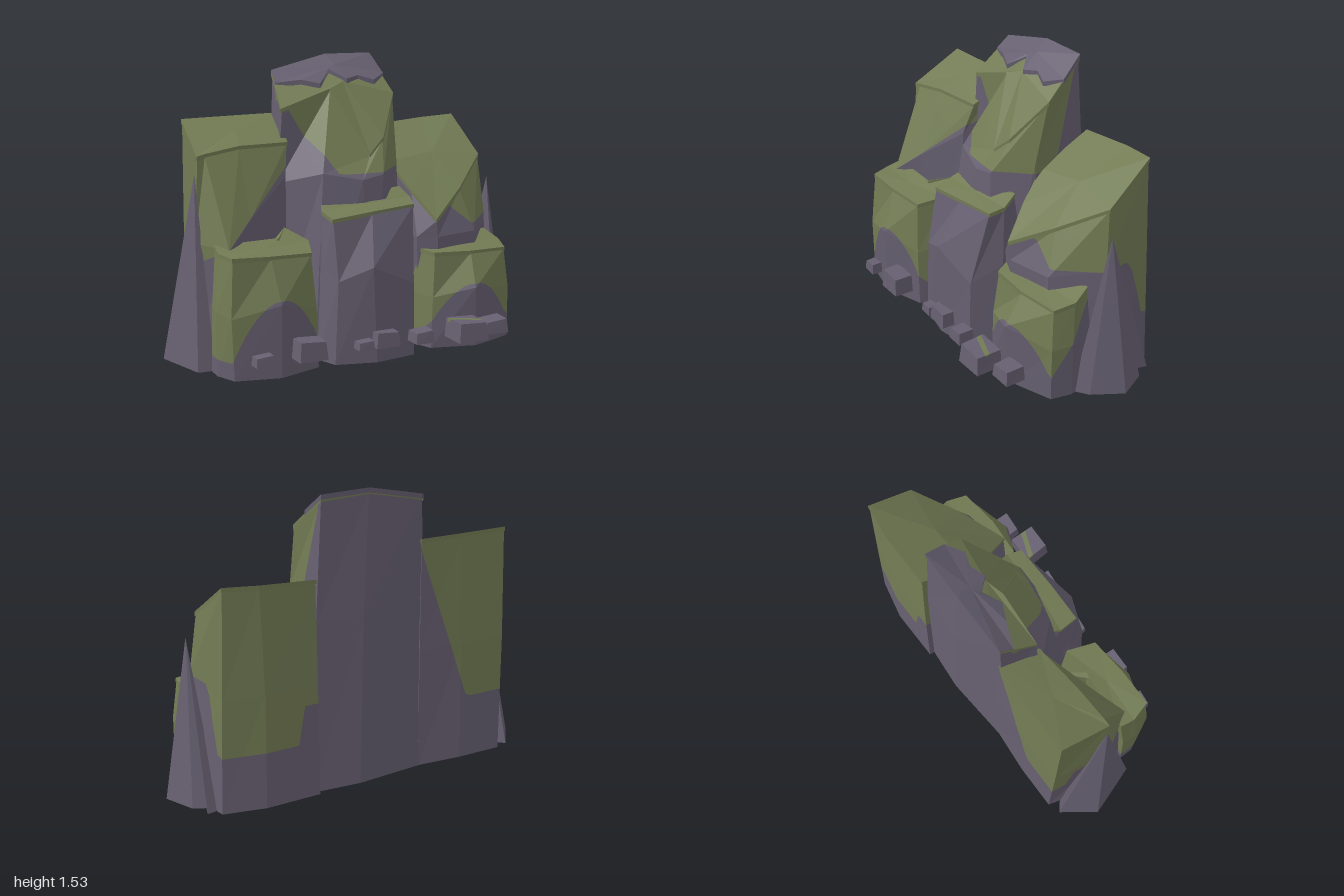
import * as THREE from 'three';

// Shells are open underneath, so both sides show
const moss = new THREE.MeshStandardMaterial({ color: 0x727b54, side: THREE.DoubleSide });
moss.name = 'moss';
const stone = new THREE.MeshStandardMaterial({ color: 0x665f70, side: THREE.DoubleSide });
stone.name = 'stone';

const allStone = () => -1;
const allMoss = () => 1;
const mix = (a, b, t) => a.map((v, i) => v + (b[i] - v) * t);
const drop = (p, d) => [p[0], p[1] - d, p[2]];

// Part of a triangle where sign * field is positive, as a fan
function clip(tri, values, sign, out) {
  const poly = [];
  for (let i = 0; i < 3; i++) {
    const j = (i + 1) % 3, a = values[i] * sign, b = values[j] * sign;
    if (a >= 0) poly.push(tri[i]);
    if ((a >= 0) !== (b >= 0)) poly.push(mix(tri[i], tri[j], a / (a - b)));
  }
  for (let i = 1; i + 1 < poly.length; i++) out.push(...poly[0], ...poly[i], ...poly[i + 1]);
}

// Faceted shell through rings, closed at the top by a fan; the field is positive where moss grows
function loft(name, rings, field, peak) {
  const green = [], grey = [];
  const emit = (a, b, c, depth) => {
    if (depth > 0) {
      const ab = mix(a, b, 0.5), bc = mix(b, c, 0.5), ca = mix(c, a, 0.5);
      emit(a, ab, ca, depth - 1);
      emit(ab, b, bc, depth - 1);
      emit(ca, bc, c, depth - 1);
      emit(ab, bc, ca, depth - 1);
      return;
    }
    const tri = [a, b, c], values = tri.map((p) => field(...p));
    clip(tri, values, 1, green);
    clip(tri, values.map((v) => (v === 0 ? 1e-9 : v)), -1, grey);
  };
  const depth = field === allStone || field === allMoss ? 0 : 3;
  const n = rings[0].length, top = rings[rings.length - 1];
  for (let i = 0; i < n; i++) {
    const j = (i + 1) % n;
    for (let k = 0; k + 1 < rings.length; k++) {
      const a = rings[k], b = rings[k + 1];
      emit(a[i], a[j], b[j], depth);
      emit(a[i], b[j], b[i], depth);
    }
    emit(peak, top[i], top[j], depth);
  }
  const geo = new THREE.BufferGeometry();
  geo.setAttribute('position', new THREE.Float32BufferAttribute([...green, ...grey], 3));
  geo.addGroup(0, green.length / 3, 0);
  geo.addGroup(green.length / 3, grey.length / 3, 1);
  geo.computeVertexNormals();
  const mesh = new THREE.Mesh(geo, [moss, stone]);
  mesh.name = name;
  return mesh;
}

// Rock column with a thin overhanging moss crust on its sloping top
function column(name, { base, mid, top, peak, field }) {
  const group = new THREE.Group();
  group.name = name;
  const foot = base.map(([x, z]) => [x, 0.01, z]);
  group.add(loft(name + 'Body', [foot, mid, top.map((p) => drop(p, 0.012))], field, drop(peak, 0.012)));
  const rim = top.map(([x, y, z]) => [peak[0] + (x - peak[0]) * 1.02, y, peak[2] + (z - peak[2]) * 1.02]);
  group.add(loft(name + 'Crust', [rim.map((p) => drop(p, 0.022)), rim], allMoss, peak));
  return group;
}

// Every ring runs back left, left, front left, front, front right, right, back right, back
const columns = {
  tallCentreRock: {
    base: [[-.32, -.43], [-.42, -.2], [-.3, .1], [0, .14], [.2, .12], [.36, -.15], [.33, -.43], [.07, -.455]],
    mid: [[-.33, .9, -.405], [-.37, .9, -.2], [-.2, .97, 0], [0, .93, .06], [.12, .95, .06], [.28, 1, -.1], [.3, .9, -.405], [.04, .9, -.425]],
    top: [[-.31, 1.46, -.39], [-.34, 1.29, -.2], [-.07, 1.38, -.19], [.07, 1.05, -.005], [.16, 1.13, -.03], [.29, 1.34, -.17], [.26, 1.52, -.385], [0, 1.53, -.395]],
    peak: [0.02, 1.41, -.22],
    field: (x, y, z) => Math.min(z + .27 + .26 * (y - 1.12), y - Math.max(.96, .97 - 1.7 * (x + .12))),
  },
  tallRightRock: {
    base: [[-.8, -.46], [-.88, -.2], [-.8, .08], [-.6, -.02], [-.36, -.12], [-.3, -.25], [-.3, -.43], [-.55, -.455]],
    mid: [[-.81, .65, -.44], [-.86, .65, -.12], [-.75, .64, .07], [-.6, .77, -.01], [-.36, .95, -.12], [-.3, .7, -.25], [-.3, .65, -.42], [-.55, .65, -.435]],
    top: [[-.81, 1.24, -.415], [-.83, 1.09, -.14], [-.79, 1.1, -.14], [-.6, 1.125, -.15], [-.33, 1.12, -.17], [-.31, 1.18, -.28], [-.31, 1.24, -.4], [-.55, 1.24, -.41]],
    peak: [-.57, 1.18, -.28],
    field: (x, y, z) => z < -.35 ? y - Math.max(.35, .25 + 3 * (x + .62)) : y - (.64 + .9 * (x + .75)),
  },
  tallLeftRock: {
    base: [[.31, -.46], [.28, -.1], [.32, .1], [.42, .15], [.68, .13], [.88, -.1], [.83, -.41], [.61, -.46]],
    mid: [[.31, .6, -.44], [.27, .6, -.1], [.3, .6, .1], [.4, .6, .15], [.65, .6, .11], [.84, .65, -.1], [.81, .6, -.4], [.6, .6, -.44]],
    top: [[.31, 1.13, -.415], [.27, .97, -.15], [.32, .84, 0], [.39, .70, .15], [.6, .83, .03], [.81, .97, -.13], [.79, 1.16, -.39], [.61, 1.15, -.415]],
    peak: [.54, 1.0, -.17],
    field: (x, y, z) => {
      if (z < -.27) return y - Math.max(x < .42 ? .5 : .3, .65 + 3.5 * (z + .27));
      return y - (.64 + Math.max(0, .13 - .8 * (x - .48)));
    },
  },
  lowCentreRock: {
    base: [[-.26, -.05], [-.29, .1], [-.24, .22], [-.03, .28], [.2, .26], [.29, .1], [.27, -.05], [0, -.06]],
    mid: [[-.23, .5, -.05], [-.25, .5, .1], [-.22, .45, .22], [-.05, .52, .28], [.2, .4, .25], [.28, .5, .1], [.25, .5, -.05], [0, .5, -.05]],
    top: [[-.21, .82, 0], [-.23, .79, .05], [-.22, .765, .16], [0, .785, .165], [.24, .80, .16], [.26, .82, .08], [.24, .865, 0], [0, .83, -.02]],
    peak: [.01, .81, .08],
    field: allStone,
  },
  lowRightRock: {
    base: [[-.84, .02], [-.84, .1], [-.79, .21], [-.56, .27], [-.33, .21], [-.29, .1], [-.34, -.08], [-.46, .04]],
    mid: [[-.83, .35, .02], [-.84, .35, .1], [-.8, .33, .21], [-.56, .39, .28], [-.34, .33, .21], [-.29, .35, .08], [-.36, .35, -.09], [-.47, .35, .05]],
    top: [[-.8, .66, 0], [-.81, .64, .08], [-.78, .635, .19], [-.58, .625, .2], [-.36, .615, .19], [-.31, .64, .04], [-.39, .69, -.08], [-.47, .67, .04]],
    peak: [-.56, .64, .1],
    field: (x, y) => y - Math.max(.1, .41 - 5 * (x + .55) ** 2),
  },
  lowLeftRock: {
    base: [[.3, -.03], [.28, .1], [.33, .21], [.57, .28], [.81, .21], [.84, .1], [.82, -.03], [.57, -.04]],
    mid: [[.3, .3, -.03], [.29, .3, .1], [.34, .29, .21], [.55, .34, .3], [.81, .29, .21], [.84, .3, .1], [.82, .3, -.03], [.57, .3, -.04]],
    top: [[.35, .56, 0], [.31, .54, .08], [.36, .53, .19], [.57, .52, .21], [.79, .51, .19], [.82, .53, .08], [.79, .57, -.02], [.57, .55, -.03]],
    peak: [.57, .54, .1],
    field: (x, y, z) => y - Math.max(.36 - 4 * (x - .56) ** 2, x > .79 ? .15 + 1.6 * (.2 - z) : 0),
  },
};

// Bare cap with a ragged front edge on the tallest rock
const capRim = [
  [-.315, 1.47, -.395], [-.325, 1.41, -.325], [-.2, 1.425, -.27], [-.11, 1.405, -.225], [-.03, 1.47, -.29], [.04, 1.425, -.21],
  [.12, 1.435, -.24], [.2, 1.41, -.21], [.287, 1.435, -.27], [.265, 1.535, -.392], [0, 1.54, -.4],
];

// Narrow shards leaning on the outer sides: footprint and tip
const shards = [
  { foot: [[-1, -.27], [-.91, .01], [-.82, .02], [-.8, -.38], [-.87, -.44]], tip: [-.845, 1, -.15] },
  { foot: [[.82, -.36], [.82, .08], [.9, .03], [1, -.12], [.93, -.28], [.87, -.31], [.89, -.37]], tip: [.86, .84, -.11] },
];

// Loose stones: centre x, width, height, back z, front z
const pebbles = [
  [-.67, .1, .06, .26, .33], [-.42, .16, .1, .24, .36], [-.11, .09, .05, .26, .33], [.01, .14, .08, .26, .34],
  [.21, .11, .07, .27, .37], [.45, .18, .1, .3, .46], [.63, .14, .08, .28, .4],
];

export function createModel() {
  const model = new THREE.Group();
  model.name = 'mossyRockFormation';
  for (const [name, spec] of Object.entries(columns)) model.add(column(name, spec));
  model.add(loft('bareCap', [capRim.map((p) => drop(p, 0.025)), capRim], allStone, [.02, 1.49, -.315]));

  shards.forEach(({ foot, tip }, i) => {
    const ring = (t) => foot.map(([x, z]) => mix([x, 0.01, z], tip, t));
    model.add(loft('shard' + (i + 1), [ring(0), ring(0.98)], allStone, tip));
  });

  pebbles.forEach(([x, w, h, z0, z1], i) => {
    const ring = (y, s, tilt) => [[-.5, z0], [-.46, z1 - .01], [.47, z1], [.5, z0 + .01]].map(
      ([u, z], k) => [x + u * w * s, y + (k < 2 ? tilt : 0), z0 + (z - z0) * (s + 1) / 2]);
    // The largest stone carries a streak of moss on top
    const field = i === 5 ? (px, y, z) => Math.min(y - .185, .015 - Math.abs(z - .36 - .4 * (px - x))) : allStone;
    const tilt = i % 2 ? h * .08 : -h * .15, y = .1 + h * .95;
    model.add(loft('pebble' + (i + 1), [ring(.1, 1, 0), ring(y, .88, tilt)], field, [x, y + tilt / 2, (z0 + z1) / 2]));
  });
  return model;
}
